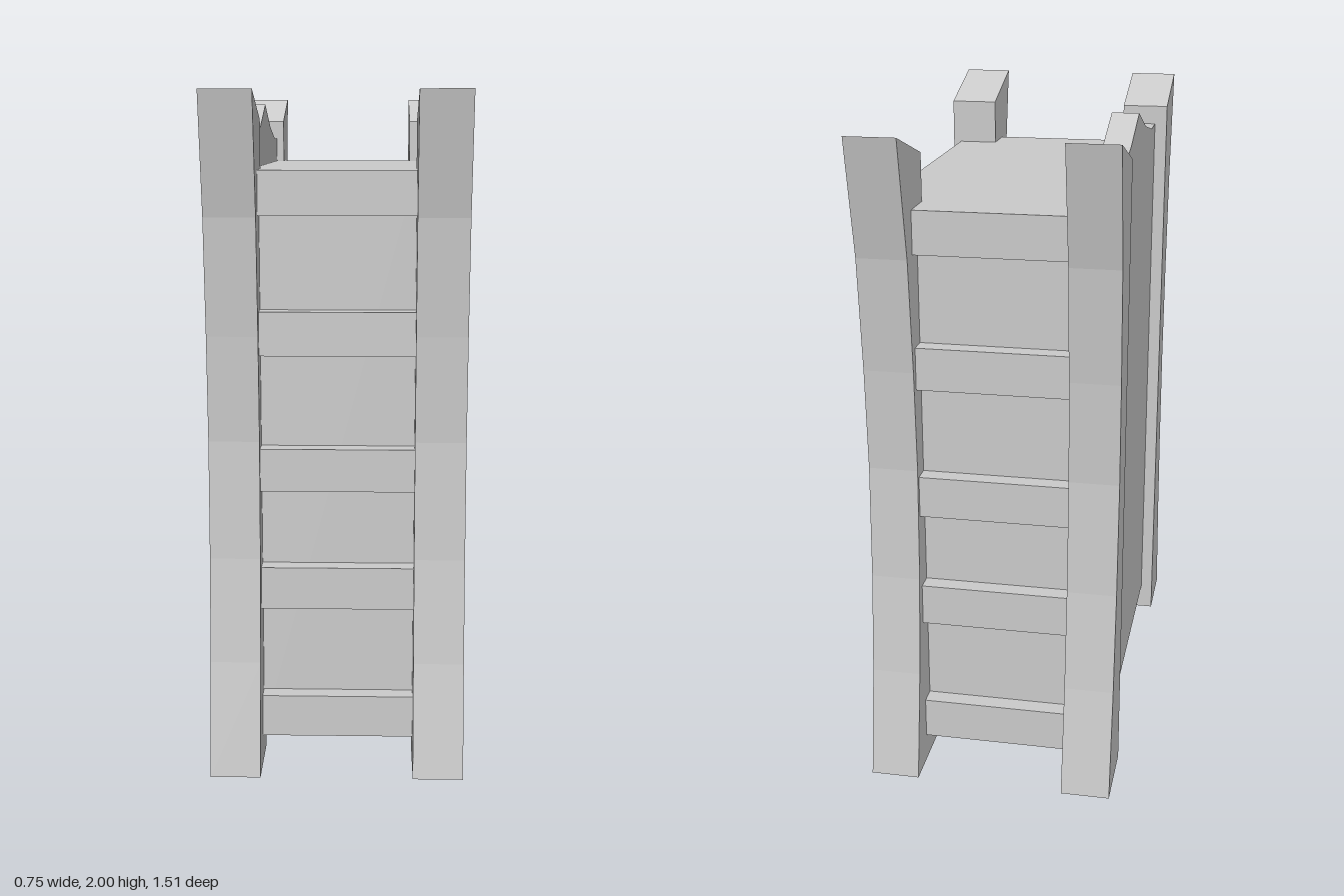
import * as THREE from 'three';

const material = new THREE.MeshStandardMaterial({ color: 0xcccccc, flatShading: true });

export function createModel() {
  const group = new THREE.Group();

  const add = (name, geometry) => {
    const mesh = new THREE.Mesh(geometry, material);
    mesh.name = name;
    group.add(mesh);
  };

  // Box given by its limits on each axis
  const block = (name, x0, x1, y0, y1, z0, z1) => {
    const g = new THREE.BoxGeometry(x1 - x0, y1 - y0, z1 - z0);
    g.translate((x0 + x1) / 2, (y0 + y1) / 2, (z0 + z1) / 2);
    add(name, g);
  };

  // Side profile of [z, y] points, extruded from x0 to x1
  const profile = (name, points, x0, x1) => {
    const shape = new THREE.Shape(points.map(([z, y]) => new THREE.Vector2(z, y)));
    const g = new THREE.ExtrudeGeometry(shape, { depth: x1 - x0, bevelEnabled: false });
    g.rotateY(-Math.PI / 2);
    g.translate(x1, 0, 0);
    add(name, g);
  };

  const bottom = 0.085, top = 1.78, inner = 0.51;

  // Main case
  block('body', -0.25, 0.35, bottom, top, -inner, inner);

  // Four flared corner posts
  const post = [
    [inner, 0], [0.74, 0], [0.687, 0.34], [0.656, 0.65], [0.642, 1],
    [0.655, 1.31], [0.685, 1.65], [0.756, 2], [inner, 1.92],
  ];
  for (const s of [1, -1]) {
    const points = post.map(([z, y]) => [s * z, y]);
    const end = s > 0 ? 'front' : 'back';
    profile(end + 'LeftPost', points, 0.226, 0.375);
    profile(end + 'RightPost', points, -0.375, -0.226);
  }

  // Side panel with a peaked crest
  profile('crestPanel', [
    [-inner, bottom], [inner, bottom], [inner, 1.86], [0.4, 1.86], [0.2, 1.9],
    [0, 1.97], [-0.2, 1.9], [-0.4, 1.86], [-inner, 1.86],
  ], -0.335, -0.25);

  // Recessed end panels and their raised slats
  const slats = [[bottom, 0.212], [0.488, 0.615], [0.848, 0.975], [1.25, 1.378], [1.652, top]];
  for (const s of [1, -1]) {
    const end = s > 0 ? 'front' : 'back';
    const span = (a, b) => (s > 0 ? [a, b] : [-b, -a]);
    block(end + 'Panel', -0.226, 0.226, bottom, top, ...span(inner, 0.575));
    slats.forEach(([y0, y1], i) =>
      block(end + 'Slat' + (i + 1), -0.226, 0.226, y0, y1, ...span(0.575, 0.63)));
  }

  return group;
}
